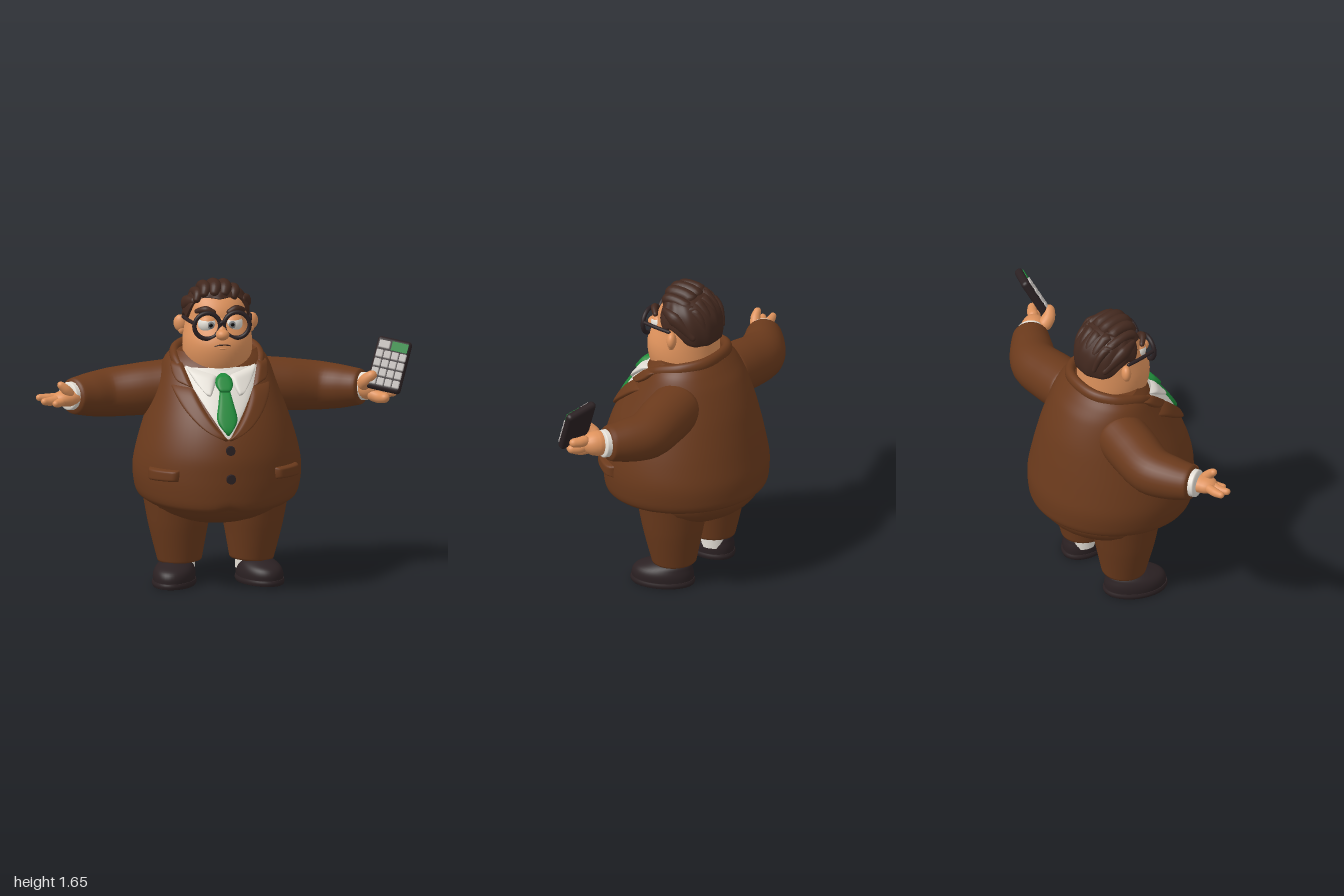
import * as THREE from 'three';
import { mergeVertices } from 'three/addons/utils/BufferGeometryUtils.js';
import { RoundedBoxGeometry } from 'three/addons/geometries/RoundedBoxGeometry.js';

const { sin, cos, sqrt, abs, PI, exp } = Math;
const V = (p) => new THREE.Vector3(...p);
const clamp = (t) => Math.min(1, Math.max(0, t));
const ease = (v) => (1 - cos(PI * v)) / 2;
const curve = (pts) => new THREE.CatmullRomCurve3(pts.map(V));

// Smooth surface from fn(u, v): u runs around or rightwards, v runs along or upwards
function grid(fn, nu, nv) {
  const pos = [], idx = [];
  for (let j = 0; j <= nv; j++) for (let i = 0; i <= nu; i++) pos.push(...fn(i / nu, j / nv));
  for (let j = 0; j < nv; j++) for (let i = 0; i < nu; i++) {
    const a = j * (nu + 1) + i, c = a + nu + 1;
    idx.push(a, a + 1, c, a + 1, c + 1, c);
  }
  let g = new THREE.BufferGeometry();
  g.setAttribute('position', new THREE.Float32BufferAttribute(pos, 3));
  g.setIndex(idx);
  g = mergeVertices(g, 1e-5);
  g.computeVertexNormals();
  return g;
}

// Smooth lookup in a table whose first column is the key
function look(tab, y) {
  let i = 1;
  while (i < tab.length - 1 && y > tab[i][0]) i++;
  const p = tab[i - 1], q = tab[i], d = q[0] - p[0], t = clamp((y - p[0]) / d);
  const a = tab[Math.max(0, i - 2)], b = tab[Math.min(tab.length - 1, i + 1)];
  return p.slice(1).map((_, n) => {
    const k = n + 1, m0 = (q[k] - a[k]) / (q[0] - a[0]) * d, m1 = (b[k] - p[k]) / (b[0] - p[0]) * d;
    return (1 + 2 * t) * (1 - t) ** 2 * p[k] + t * (1 - t) ** 2 * m0 + t * t * (3 - 2 * t) * q[k] + t * t * (t - 1) * m1;
  });
}

// Stacked ellipses, table rows: height, half width, front z, back z
function loft(tab, lift = () => 0, nu = 48, nv = 40) {
  const y0 = tab[0][0], y1 = tab[tab.length - 1][0];
  return grid((u, v) => {
    const a = (u % 1) * 2 * PI, k = v * nv, e = ease(clamp((k - 1) / (nv - 2)));
    const y = y0 + (y1 - y0) * e, [rx, zf, zb] = look(tab, y), s = k < 0.5 || k > nv - 0.5 ? 0 : 1;
    return [s * rx * sin(a), y + lift(a, y), (zf + zb) / 2 + s * (zf - zb) / 2 * cos(a)];
  }, nu, nv);
}

// Rounded limb along a path with its own radius at each point
function limb(pts, radii, { flat = 1, cap = 1, up = [0, 1, 0], nu = 20, nv = 28 } = {}) {
  const c = curve(pts), L = c.getLength(), U = V(up);
  return grid((u, v) => {
    const t = ease(v), f = t * (radii.length - 1), i = Math.min(radii.length - 2, Math.floor(f));
    let r = radii[i] + (radii[i + 1] - radii[i]) * (f - i);
    const e = Math.min(1, Math.min(t, 1 - t) * L / (r * cap));
    r *= sqrt(Math.max(0, 1 - (1 - e) ** 2));
    const T = c.getTangent(t), S = T.clone().cross(U).normalize(), N = T.clone().cross(S);
    const a = (u % 1) * 2 * PI;
    return c.getPoint(t).addScaledVector(S, r * cos(a)).addScaledVector(N, r * flat * sin(a)).toArray();
  }, nu, nv);
}

const JACKET = [[0.475, 0.388, 0.395, -0.405], [0.5, 0.422, 0.42, -0.435], [0.56, 0.441, 0.43, -0.445],
  [0.65, 0.447, 0.432, -0.445], [0.76, 0.428, 0.425, -0.428], [0.89, 0.39, 0.385, -0.403], [1.02, 0.345, 0.315, -0.37],
  [1.15, 0.3, 0.22, -0.315], [1.22, 0.268, 0.16, -0.268], [1.265, 0.225, 0.11, -0.235]];

// Padded piece lying on the jacket between two edges, both listed from the bottom up
function patch(left, right, h, tuck = 0.006) {
  const l = curve(left.map((p) => [...p, 0])), r = curve(right.map((p) => [...p, 0]));
  return grid((u, v) => {
    const p = l.getPoint(ease(v)).lerp(r.getPoint(ease(v)), ease(u));
    const [rx, zf, zb] = look(JACKET, p.y), cz = (zf + zb) / 2, rz = (zf - zb) / 2;
    const z = rz * sqrt(Math.max(0, 1 - (p.x / rx) ** 2));
    const off = (h + tuck) * (1 - (2 * ease(u) - 1) ** 8) * (1 - (2 * ease(v) - 1) ** 8) - tuck;
    const n = new THREE.Vector3(p.x / rx ** 2, 0, z / rz ** 2).normalize();
    return [p.x + n.x * off, p.y, cz + z + n.z * off];
  }, 18, 26);
}

export function createModel() {
  const root = new THREE.Group(), body = new THREE.Group();
  root.name = 'businessman';
  body.name = 'body';
  body.position.x = -0.021;
  root.add(body);
  const mat = (name, color) => Object.assign(new THREE.MeshStandardMaterial({ color }), { name });
  const suit = mat('suitBrown', 0x6b3a1c), skin = mat('skin', 0xde925c), hair = mat('hairBrown', 0x42281e);
  const dark = mat('darkLeather', 0x2b2123), white = mat('shirtWhite', 0xe4dfd6), green = mat('tieGreen', 0x1f8a3a);
  const grey = mat('keyGrey', 0xc2bdba), iris = mat('irisGrey', 0x858788), black = mat('black', 0x0d0b0b);
  const add = (name, geo, m, pos = [0, 0, 0], scale = [1, 1, 1], parent = body) => {
    const mesh = new THREE.Mesh(geo, m);
    mesh.name = name;
    mesh.position.set(...pos);
    mesh.scale.set(...scale);
    parent.add(mesh);
    return mesh;
  };
  const ball = new THREE.SphereGeometry(1, 32, 20);
  const sides = (fn) => [[1, 'left'], [-1, 'right']].forEach(([s, n]) => fn(s, n));

  // Jacket, hem lower in front with a small opening at the middle
  add('jacket', loft(JACKET, (a, y) => {
    const f = Math.min(a, 2 * PI - a);
    return clamp((0.7 - y) / 0.22) * (0.022 * exp(-((f / 0.14) ** 2)) - 0.024 * cos(a));
  }, 72, 56), suit);
  const collar = [[0.215, 1.19, 0.09], [0.228, 1.225, 0.02], [0.205, 1.255, -0.1], [0.12, 1.272, -0.185]];
  add('jacketCollar', limb([...collar, [0, 1.277, -0.208], ...collar.map(([x, y, z]) => [-x, y, z]).reverse()],
    [0.02, 0.028, 0.028, 0.028, 0.02], { flat: 1.25, nv: 60 }), suit);
  [0.8, 0.65].forEach((y) => {
    add('button', new THREE.CylinderGeometry(0.024, 0.027, 0.025, 24), dark, [0.008, y, y > 0.7 ? 0.415 : 0.436]).rotation.x = PI / 2;
  });

  // Shirt, tie and neck band
  const opening = [[0.01, 0.86], [0.1, 1.0], [0.17, 1.12], [0.21, 1.2]];
  const flip = (pts) => pts.map(([x, y]) => [-x, y]);
  add('shirtFront', patch(flip(opening), opening, 0.005, 0), white);
  add('shirtNeck', loft([[1.06, 0.195, 0.235, -0.19], [1.14, 0.195, 0.217, -0.19], [1.2, 0.19, 0.185, -0.19], [1.22, 0.18, 0.165, -0.185]]), white);
  const blade = [[0.004, 0.875], [0.054, 0.95], [0.042, 1.03], [0.024, 1.11]];
  add('tieBlade', patch(flip(blade), blade, 0.026, 0), green);
  const knot = [[0.024, 1.085], [0.046, 1.125], [0.04, 1.155], [0.012, 1.178]];
  add('tieKnot', patch(flip(knot), knot, 0.045, 0), green);

  // Hips
  add('trouserSeat', ball, suit, [0, 0.52, -0.04], [0.392, 0.19, 0.365]);

  sides((s, side) => {
    const mx = (pts) => pts.map(([x, ...rest]) => [s * x, ...rest]);
    const pair = (inner, outer, h, t) => (s > 0 ? patch(inner, outer, h, t) : patch(mx(outer), mx(inner), h, t));
    // Notched lapel, shirt collar wing and pocket flap
    add(side + 'Lapel', pair([[-0.005, 0.85], [0.05, 0.91], [0.11, 1.0], [0.162, 1.11]],
      [[0.01, 0.845], [0.13, 0.91], [0.215, 1.0], [0.275, 1.115]], 0.02), suit);
    add(side + 'CollarFront', pair([[0.158, 1.1], [0.175, 1.15], [0.2, 1.22]], [[0.23, 1.125], [0.25, 1.17], [0.248, 1.225]], 0.024), suit);
    add(side + 'CollarWing', pair([[0.075, 1.065], [0.05, 1.11], [0.03, 1.17]], [[0.085, 1.065], [0.15, 1.14], [0.195, 1.21]], 0.026), white);
    add(side + 'PocketFlap', pair([[0.26, 0.625], [0.255, 0.66], [0.255, 0.69]], [[0.395, 0.615], [0.395, 0.65], [0.395, 0.685]], 0.03), suit);

    // Sleeve and cuff
    add(side + 'Sleeve', limb(mx([[0.2, 1.06, -0.1], [0.38, 1.04, -0.11], [0.56, 1.025, -0.115], [0.68, 1.027, -0.06], [0.787, 1.035, 0.005]]),
      [0.14, 0.14, 0.13, 0.115, 0.092], { cap: 0.25, nu: 32 }), suit);
    add(side + 'Cuff', limb(mx([[0.73, 1.033, -0.03], [0.77, 1.036, -0.005], [0.81, 1.04, 0.02]]), [0.076, 0.076, 0.074], { cap: 0.15 }), white);

    // Leg, sock and shoe
    add(side + 'Leg', limb([[s * 0.2, 0.57, -0.05], [s * 0.2, 0.33, -0.05], [s * 0.192, 0.112, -0.052]], [0.205, 0.162, 0.115],
      { flat: 1.02, cap: 0.12, up: [0, 0, 1], nu: 32 }), suit);
    add(side + 'Sock', new THREE.CylinderGeometry(0.078, 0.078, 0.07, 28), white, [s * 0.185, 0.1, -0.065]);
    const shoe = new THREE.Group();
    shoe.name = side + 'Shoe';
    shoe.position.set(s * 0.228, 0, -0.005);
    shoe.rotation.y = s * 0.34;
    body.add(shoe);
    add('sole', loft([[0, 0.112, 0.172, -0.168], [0.015, 0.117, 0.177, -0.173], [0.03, 0.113, 0.173, -0.168]], undefined, 40, 10), dark, [0, 0, 0], [1, 1, 1], shoe);
    add('upper', loft([[0.02, 0.11, 0.168, -0.165], [0.06, 0.111, 0.167, -0.165], [0.09, 0.102, 0.145, -0.158], [0.115, 0.083, 0.085, -0.148], [0.128, 0.055, 0.05, -0.12]],
      undefined, 40, 24), dark, [0, 0, 0], [1, 1, 1], shoe);

    // Ear
    add(side + 'Ear', ball, skin, [s * 0.192, 1.405, -0.035], [0.036, 0.045, 0.026]).rotation.y = s * 0.4;
    add(side + 'EarLobe', ball, skin, [s * 0.184, 1.37, -0.028], [0.02, 0.024, 0.018]);

    // Eye, lid, brow and glasses rim
    add(side + 'Eye', ball, white, [s * 0.068, 1.428, 0.112], [0.052, 0.05, 0.05]);
    add(side + 'Iris', ball, iris, [s * 0.058, 1.428, 0.158], [0.02, 0.02, 0.006]);
    add(side + 'Pupil', ball, black, [s * 0.058, 1.428, 0.163], [0.01, 0.01, 0.004]);
    add(side + 'Eyelid', new THREE.SphereGeometry(0.055, 28, 12, 0, 2 * PI, 0, PI * 0.33), skin, [s * 0.068, 1.428, 0.112]).rotation.x = 0.1;
    add(side + 'Brow', limb(mx([[0.03, 1.488, 0.15], [0.08, 1.51, 0.142], [0.135, 1.492, 0.1]]), [0.014, 0.02, 0.012]), hair);
    add(side + 'Rim', new THREE.TorusGeometry(0.069, 0.012, 14, 40), dark, [s * 0.079, 1.428, 0.172]);
    add(side + 'Temple', limb(mx([[0.146, 1.442, 0.17], [0.166, 1.443, 0.08], [0.18, 1.443, -0.02]]), [0.01, 0.01, 0.01]), dark);

    // Side lock
    add(side + 'SideLock', limb(mx([[0.128, 1.54, 0.06], [0.158, 1.515, -0.03], [0.135, 1.41, -0.145]]), [0.014, 0.03, 0.012], { flat: 1.3 }), hair);
  });

  // Head and face
  add('head', loft([[1.14, 0.15, 0.15, -0.17], [1.2, 0.172, 0.186, -0.182], [1.27, 0.184, 0.204, -0.186], [1.33, 0.184, 0.203, -0.186],
    [1.38, 0.177, 0.182, -0.186], [1.43, 0.168, 0.152, -0.186], [1.5, 0.16, 0.138, -0.183], [1.56, 0.138, 0.098, -0.15], [1.595, 0.09, 0.05, -0.09]]), skin);
  add('nose', ball, skin, [0, 1.382, 0.19], [0.036, 0.03, 0.038]);
  add('noseBridge', limb([[0, 1.46, 0.135], [0, 1.42, 0.16], [0, 1.385, 0.19]], [0.016, 0.02, 0.026], { up: [1, 0, 0] }), skin);
  add('mouth', limb([[-0.045, 1.321, 0.196], [-0.018, 1.328, 0.2015], [0.018, 1.328, 0.2015], [0.045, 1.321, 0.196]], [0.003, 0.004, 0.003], { nu: 10 }), hair);
  add('lowerLip', ball, skin, [0, 1.308, 0.19], [0.04, 0.012, 0.017]);
  add('glassesBridge', limb([[-0.02, 1.437, 0.172], [0, 1.445, 0.177], [0.02, 1.437, 0.172]], [0.01, 0.01, 0.01]), dark);

  // Hair cap with a hairline that drops behind the ears
  const LINE = [[0, 1.555], [0.6, 1.56], [0.95, 1.535], [1.25, 1.44], [1.5, 1.45], [1.75, 1.43], [2.1, 1.365], [PI, 1.355]];
  const CAP = [[1.34, 0.165, 0.16, -0.195], [1.42, 0.178, 0.155, -0.207], [1.5, 0.173, 0.15, -0.195], [1.56, 0.148, 0.112, -0.153],
    [1.6, 0.1, 0.085, -0.095], [1.62, 0.004, 0.015, 0.005]];
  add('hairCap', grid((u, v) => {
    const a = (u % 1) * 2 * PI, f = Math.min(a, 2 * PI - a), [low] = look(LINE, f);
    const y = low + (1.62 - low) * sin(v * PI / 2), [rx, zf, zb] = look(CAP, y);
    const s = (v < 0.01 ? 0.92 : 1) * (1 + 0.014 * cos(12 * f + 12 * y));
    return [s * rx * sin(a), y, (zf + zb) / 2 + s * (zf - zb) / 2 * cos(a)];
  }, 128, 30), hair);
  // Quiff locks swept back: front x, crown height, radius
  [[-0.11, 1.575, 0.026], [-0.07, 1.603, 0.032], [-0.018, 1.608, 0.036], [0.035, 1.604, 0.036], [0.085, 1.585, 0.03]].forEach(([x, y, r]) => {
    const d = 0.3 * abs(x);
    add('topLock', limb([[x - 0.015, y - 0.038, 0.1 - d * 0.7], [x, y, 0.06 - d * 0.3], [x * 1.05, y - 0.008, -0.05],
      [x, 1.525 - d * 0.3, -0.148 + d * 0.3], [x * 0.85, 1.41, -0.187 + 0.2 * d]], [r * 0.6, r, r, r * 0.85, r * 0.4], { flat: 1.05, up: [0, 0.5, 0.87], nv: 32 }), hair);
  });

  // Open right hand, palm up
  const hand = (name, items) => {
    const g = new THREE.Group();
    g.name = name;
    root.add(g);
    items.forEach(([part, pts, radii, flat = 1]) => add(part, limb(pts, radii, { flat }), skin, [0, 0, 0], [1, 1, 1], g));
  };
  hand('rightHand', [
    ['palm', [[-0.76, 1.035, -0.01], [-0.83, 1.035, 0.04], [-0.91, 1.035, 0.075]], [0.058, 0.064, 0.05], 0.72],
    ['indexFinger', [[-0.87, 1.04, 0.038], [-0.94, 1.04, 0.048], [-1.0, 1.048, 0.062]], [0.025, 0.024, 0.016]],
    ['middleFinger', [[-0.87, 1.036, 0.07], [-0.93, 1.03, 0.09], [-0.978, 1.036, 0.118]], [0.025, 0.024, 0.016]],
    ['littleFinger', [[-0.85, 1.03, 0.08], [-0.89, 1.022, 0.108], [-0.915, 1.024, 0.135]], [0.025, 0.022, 0.015]],
    ['thumb', [[-0.81, 1.045, 0.06], [-0.845, 1.09, 0.08], [-0.885, 1.128, 0.085]], [0.03, 0.026, 0.017]]]);

  // Left hand gripping the calculator
  hand('leftHand', [
    ['palm', [[0.73, 1.035, -0.015], [0.79, 1.04, 0.04], [0.86, 1.05, 0.085]], [0.06, 0.07, 0.058], 0.98],
    ['thumb', [[0.75, 1.05, 0.06], [0.762, 1.095, 0.115], [0.805, 1.14, 0.15]], [0.04, 0.036, 0.024]],
    ['indexFinger', [[0.83, 1.07, 0.07], [0.88, 1.07, 0.09], [0.93, 1.075, 0.125]], [0.03, 0.028, 0.022]],
    ['middleFinger', [[0.82, 1.035, 0.08], [0.87, 1.025, 0.105], [0.92, 1.03, 0.145]], [0.03, 0.028, 0.022]],
    ['littleFinger', [[0.78, 1.015, 0.07], [0.83, 1.0, 0.12], [0.865, 1.008, 0.185]], [0.036, 0.032, 0.023]]]);

  // Calculator
  const calc = new THREE.Group();
  calc.name = 'calculator';
  const X = V([0.187, -0.037, 0.065]).normalize(), Z = X.clone().cross(V([0.052, 0.26, -0.125])).normalize();
  calc.applyMatrix4(new THREE.Matrix4().makeBasis(X, Z.clone().cross(X), Z));
  calc.position.set(0.886, 1.168, 0.105);
  root.add(calc);
  const one = [1, 1, 1];
  add('case', new RoundedBoxGeometry(0.186, 0.29, 0.046, 4, 0.02), dark, [0, 0, 0], one, calc);
  add('screen', new THREE.BoxGeometry(0.088, 0.05, 0.008), green, [0.034, 0.1, 0.023], one, calc);
  add('screenKey', new RoundedBoxGeometry(0.06, 0.044, 0.016, 2, 0.006), grey, [-0.048, 0.1, 0.023], one, calc);
  const key = new RoundedBoxGeometry(0.038, 0.043, 0.018, 2, 0.006);
  for (let r = 0; r < 4; r++) for (let c = 0; c < 4; c++) {
    add('key', key, grey, [(c - 1.5) * 0.042, 0.047 - r * 0.05, 0.023], one, calc);
  }
  return root;
}
